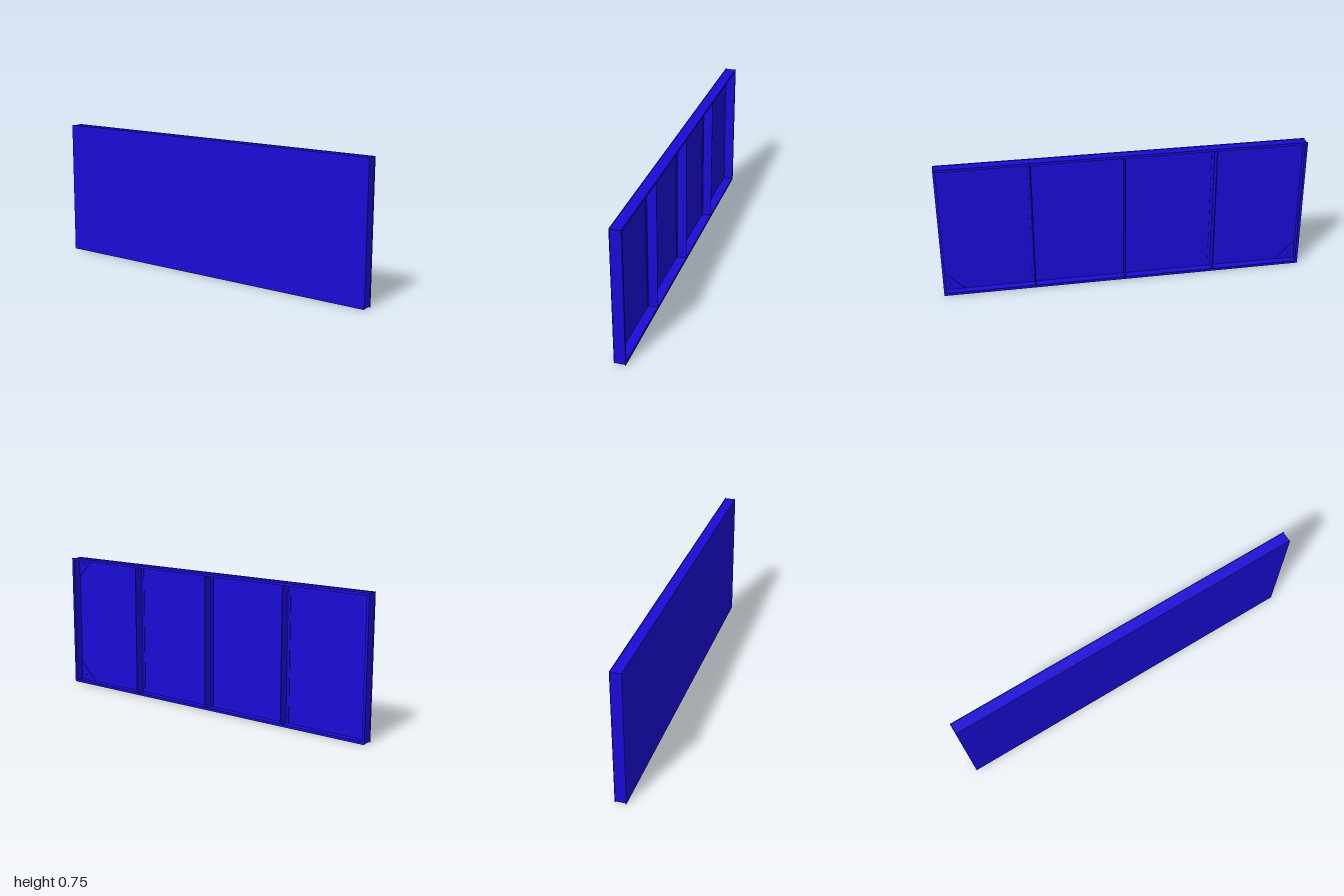
import * as THREE from 'three';

const W = 2, H = 0.755, D = 0.06, T = 0.003, LIP = 0.014;
const material = new THREE.MeshStandardMaterial({ color: 0x1a0bd6 });

function add(parent, name, geometry, x, y, z) {
  const mesh = new THREE.Mesh(geometry, material);
  mesh.name = name;
  mesh.position.set(x, y, z);
  parent.add(mesh);
  return mesh;
}
const box = (w, h, d) => new THREE.BoxGeometry(w, h, d);

function bolt(parent, x, y, z) {
  const geometry = new THREE.CylinderGeometry(0.005, 0.005, 0.003, 12).rotateX(Math.PI / 2);
  add(parent, 'bolt', geometry, x, y, z);
}

export function createModel() {
  const group = new THREE.Group();
  group.name = 'formworkPanel';
  const inner = D / 2 - T; // back surface of the face sheet

  // Face sheet
  add(group, 'faceSheet', box(W, H, T), 0, H / 2, D / 2 - T / 2);

  // Edge walls, set in slightly from the sheet
  const wallD = D - 2 * T;
  for (const s of [-1, 1]) {
    add(group, 'sideWall', box(T, H - 2 * T, wallD), s * (W / 2 - T * 1.5), H / 2, 0);
    add(group, 'edgeWall', box(W - 2 * T, T, wallD), 0, H / 2 + s * (H / 2 - T * 1.5), 0);
  }

  // Narrow lip around the open back
  const lip = new THREE.Shape();
  lip.moveTo(-W / 2, 0).lineTo(W / 2, 0).lineTo(W / 2, H).lineTo(-W / 2, H).closePath();
  const hole = new THREE.Path();
  const hx = W / 2 - LIP;
  hole.moveTo(-hx, LIP).lineTo(-hx, H - LIP).lineTo(hx, H - LIP).lineTo(hx, LIP).closePath();
  lip.holes.push(hole);
  add(group, 'backLip', new THREE.ExtrudeGeometry(lip, { depth: T, bevelEnabled: false }), 0, 0, -D / 2);

  // T-section stiffeners, bolted at both ends
  for (const x of [-0.5, 0, 0.5]) {
    const rib = new THREE.Group();
    rib.name = 'stiffener';
    rib.position.x = x;
    const h = H - 4 * T;
    add(rib, 'web', box(0.005, h, D - 3 * T), 0, H / 2, -T / 2);
    add(rib, 'flange', box(0.036, h, T), 0, H / 2, inner - T / 2);
    for (const sx of [-1, 1]) for (const sy of [-1, 1]) {
      bolt(rib, sx * 0.011, H / 2 + sy * (H / 2 - 0.045), inner - T - 0.001);
    }
    group.add(rib);
  }

  // Triangular corner gussets against the face sheet
  for (const sx of [-1, 1]) for (const sy of [-1, 1]) {
    const x = sx * (W / 2 - 2 * T), y = H / 2 + sy * (H / 2 - 2 * T), leg = 0.11;
    const tri = new THREE.Shape([
      new THREE.Vector2(0, 0),
      new THREE.Vector2(-sx * leg, 0),
      new THREE.Vector2(0, -sy * leg),
    ]);
    const geometry = new THREE.ExtrudeGeometry(tri, { depth: T, bevelEnabled: false });
    add(group, 'cornerGusset', geometry, x, y, inner - T);
    bolt(group, x - sx * 0.032, y - sy * 0.032, inner - T - 0.001);
  }
  return group;
}
